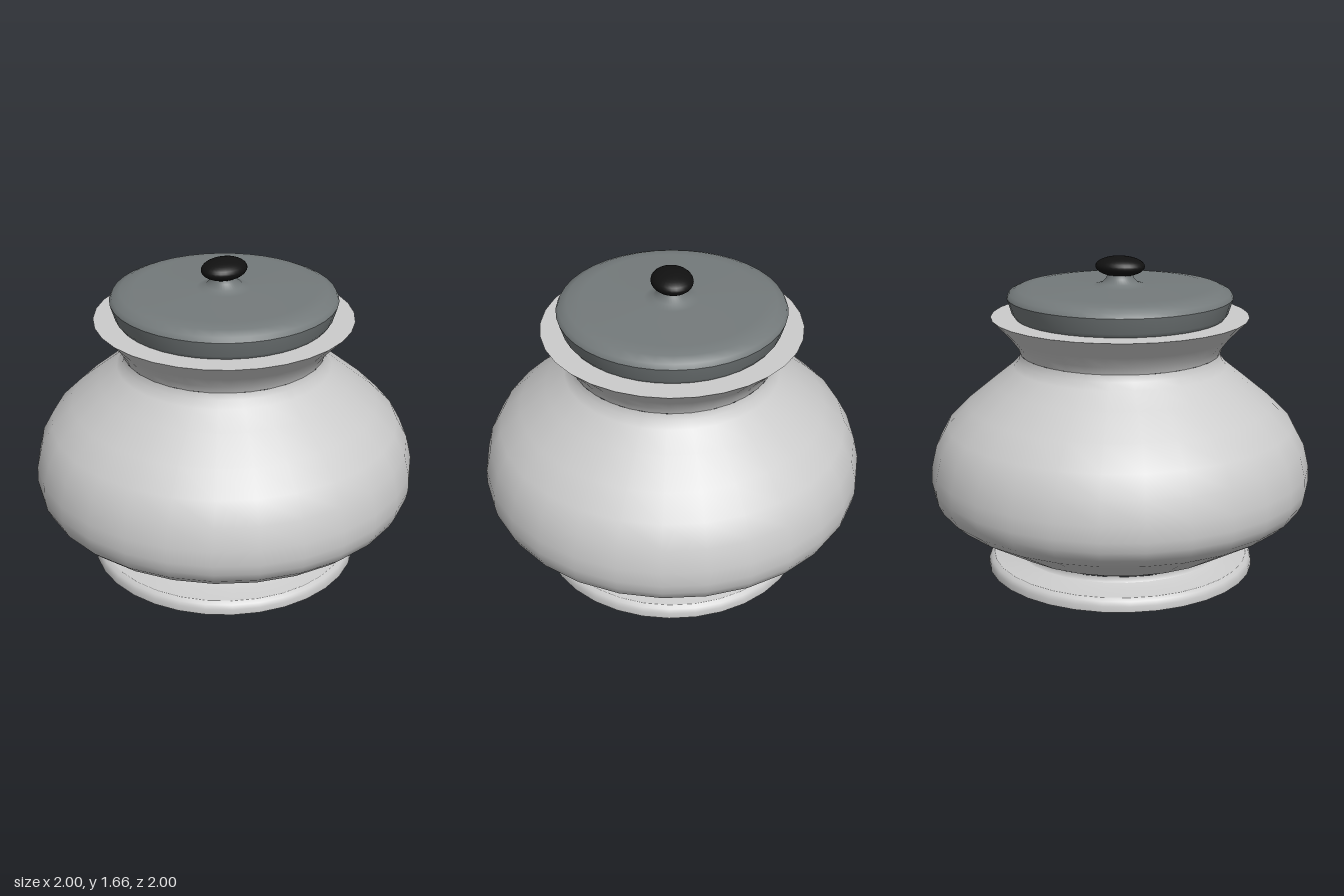
import * as THREE from 'three';

const grey = new THREE.MeshStandardMaterial({ color: 0xcccccc });
const slate = new THREE.MeshStandardMaterial({ color: 0x747a7b });
const black = new THREE.MeshStandardMaterial({ color: 0x111111 });

// Each profile runs bottom to top; separate profiles meet in a sharp edge.
function turned(name, material, segments, ...profiles) {
  const group = new THREE.Group();
  group.name = name;
  profiles.forEach((profile, i) => {
    const points = profile.map(([r, y]) => new THREE.Vector2(r, y));
    const mesh = new THREE.Mesh(new THREE.LatheGeometry(points, segments), material);
    mesh.name = `${name}Surface${i + 1}`;
    group.add(mesh);
  });
  return group;
}

export function createModel() {
  const model = new THREE.Group();
  model.name = 'liddedPot';

  // Foot: flat underside, rounded edge, sloping step and short stem
  model.add(turned('foot', grey, 32,
    [[0, 0], [0.71, 0]],
    [[0.71, 0], [0.71, 0.03], [0.7, 0.053], [0.68, 0.066]],
    [[0.68, 0.066], [0.6, 0.08], [0.56, 0.095]],
    [[0.56, 0.095], [0.55, 0.105], [0.55, 0.123]]));

  // Round belly drawn in at the neck
  model.add(turned('belly', grey, 28,
    [[0.54, 0.12], [0.64, 0.165], [0.91, 0.325], [0.965, 0.375], [0.99, 0.425], [1, 0.48],
      [0.998, 0.56], [0.97, 0.68], [0.91, 0.79], [0.8, 0.9], [0.66, 1.015], [0.56, 1.095],
      [0.53, 1.13], [0.522, 1.165]]));

  // Flared collar with a flat rim
  model.add(turned('collar', grey, 32,
    [[0.522, 1.165], [0.537, 1.205], [0.58, 1.262], [0.67, 1.355]],
    [[0.67, 1.355], [0.5, 1.355]]));

  // Lid with a small stem for the knob
  model.add(turned('lid', slate, 40,
    [[0.545, 1.355], [0.56, 1.375], [0.585, 1.455]],
    [[0.585, 1.455], [0.573, 1.48], [0.53, 1.5], [0.46, 1.51], [0.14, 1.512],
      [0.095, 1.525], [0.07, 1.55], [0.065, 1.58]]));

  // Oval knob
  const knob = new THREE.Mesh(new THREE.SphereGeometry(1, 28, 16), black);
  knob.name = 'knob';
  knob.scale.set(0.107, 0.052, 0.13);
  knob.position.y = 1.61;
  model.add(knob);

  return model;
}
